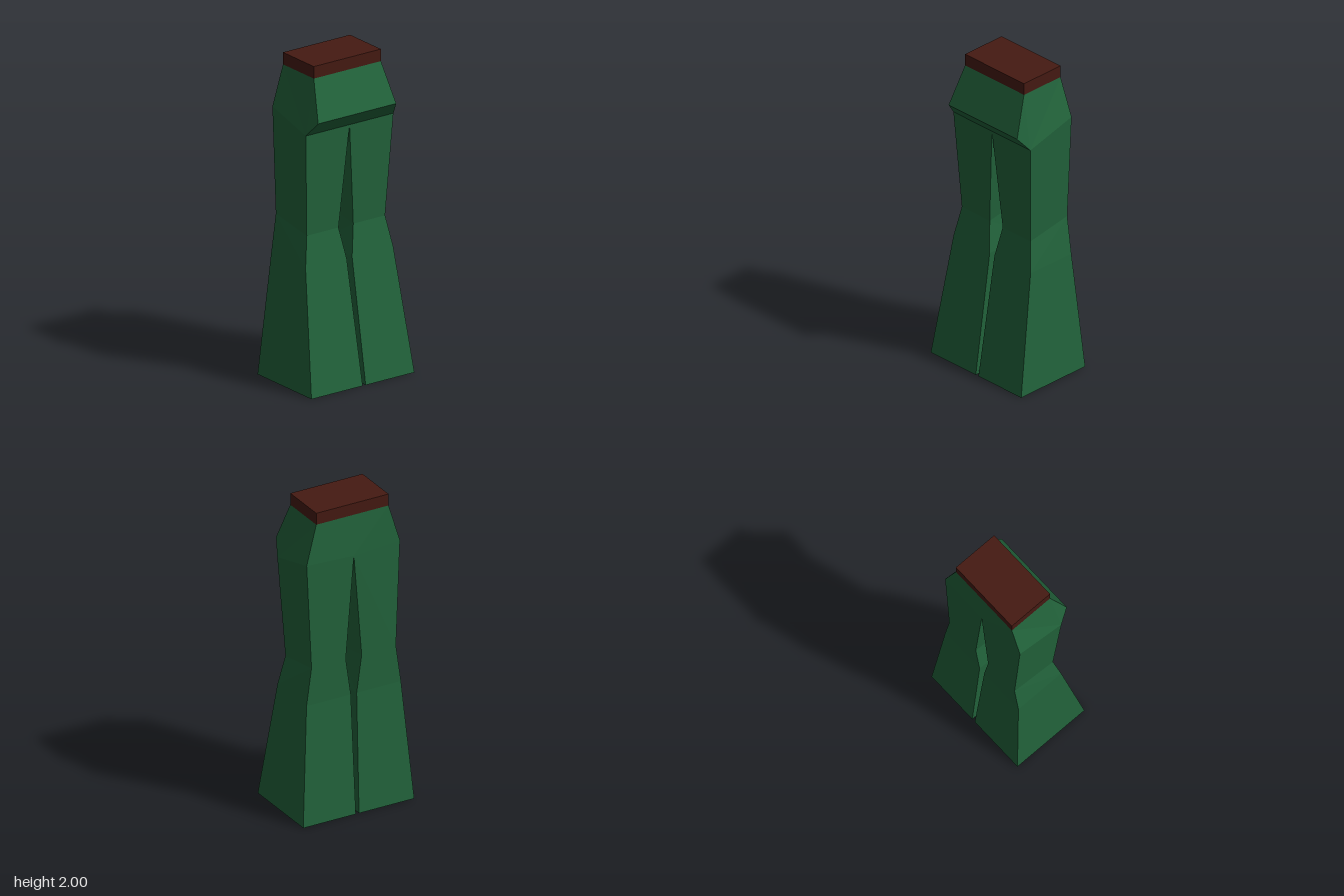
import * as THREE from 'three';

const cloth = new THREE.MeshStandardMaterial({ color: 0x22633b, flatShading: true, side: THREE.DoubleSide });
const leather = new THREE.MeshStandardMaterial({ color: 0x451a12, flatShading: true });

// Flat faces from polygons (fanned from their first corner); side -1 keeps the winding outward when mirrored
function facetMesh(name, polygons, side) {
  const pos = [];
  for (const poly of polygons) {
    for (let i = 1; i < poly.length - 1; i++) {
      const tri = [poly[0], poly[i], poly[i + 1]];
      if (side < 0) tri.reverse();
      for (const p of tri) pos.push(...p);
    }
  }
  const geo = new THREE.BufferGeometry();
  geo.setAttribute('position', new THREE.Float32BufferAttribute(pos, 3));
  geo.computeVertexNormals();
  const mesh = new THREE.Mesh(geo, cloth);
  mesh.name = name;
  return mesh;
}

// Four-cornered cross-section: outer front, outer back, inner back, inner front
function section(s, inner, outer, yFront, yBack, zFront, zBack, yCrotch = yBack) {
  return [
    [s * outer, yFront, zFront], [s * outer, yBack, zBack],
    [s * inner, yCrotch, zBack], [s * inner, yFront, zFront],
  ];
}

export function createModel() {
  const model = new THREE.Group();
  model.name = 'flaredTrousers';

  for (const s of [1, -1]) {
    const label = s > 0 ? 'left' : 'right';
    const hipBackZ = s > 0 ? -0.207 : -0.193;

    // Open-ended leg: hem, lower knee, knee, crotch
    const rings = [
      section(s, s > 0 ? 0.02 : 0.002, 0.376, 0, 0, 0.262, -0.263),
      section(s, 0.02, 0.32, 0.76, 0.76, 0.13, -0.205),
      section(s, 0.054, 0.286, 0.95, 1.0, 0.096, -0.205),
      section(s, 0, 0.32, 1.59, 1.68, 0.132, -0.207, 1.665),
    ];
    const crotch = rings[3];
    crotch[1][2] = hipBackZ;
    const legFaces = [];
    for (let r = 0; r < 3; r++) {
      for (let i = 0; i < 4; i++) {
        const j = (i + 1) % 4;
        legFaces.push([rings[r][i], rings[r][j], rings[r + 1][j], rings[r + 1][i]]);
      }
    }
    model.add(facetMesh(label + 'Leg', legFaces, s));

    // Half of the hips, with the overhanging front
    const [outFront, outBack, midBack, midFront] = crotch;
    const topFront = [s * 0.245, 1.925, 0.11], topBack = [s * 0.245, 1.925, -0.19];
    const topMidFront = [0, 1.925, 0.11], topMidBack = [0, 1.925, -0.19];
    const bulge = [s * 0.285, 1.68, 0.206], bulgeMid = [0, 1.68, 0.206];
    model.add(facetMesh(label + 'Hip', [
      [bulgeMid, bulge, topFront, topMidFront],
      [midFront, outFront, bulge, bulgeMid],
      [outFront, topFront, bulge],
      [outFront, outBack, topBack, topFront],
      [topBack, outBack, midBack, topMidBack],
    ], s));
  }

  // Waistband
  const belt = new THREE.Mesh(new THREE.BoxGeometry(0.49, 0.075, 0.3), leather);
  belt.name = 'waistband';
  belt.position.set(0, 1.9625, -0.04);
  model.add(belt);

  return model;
}
